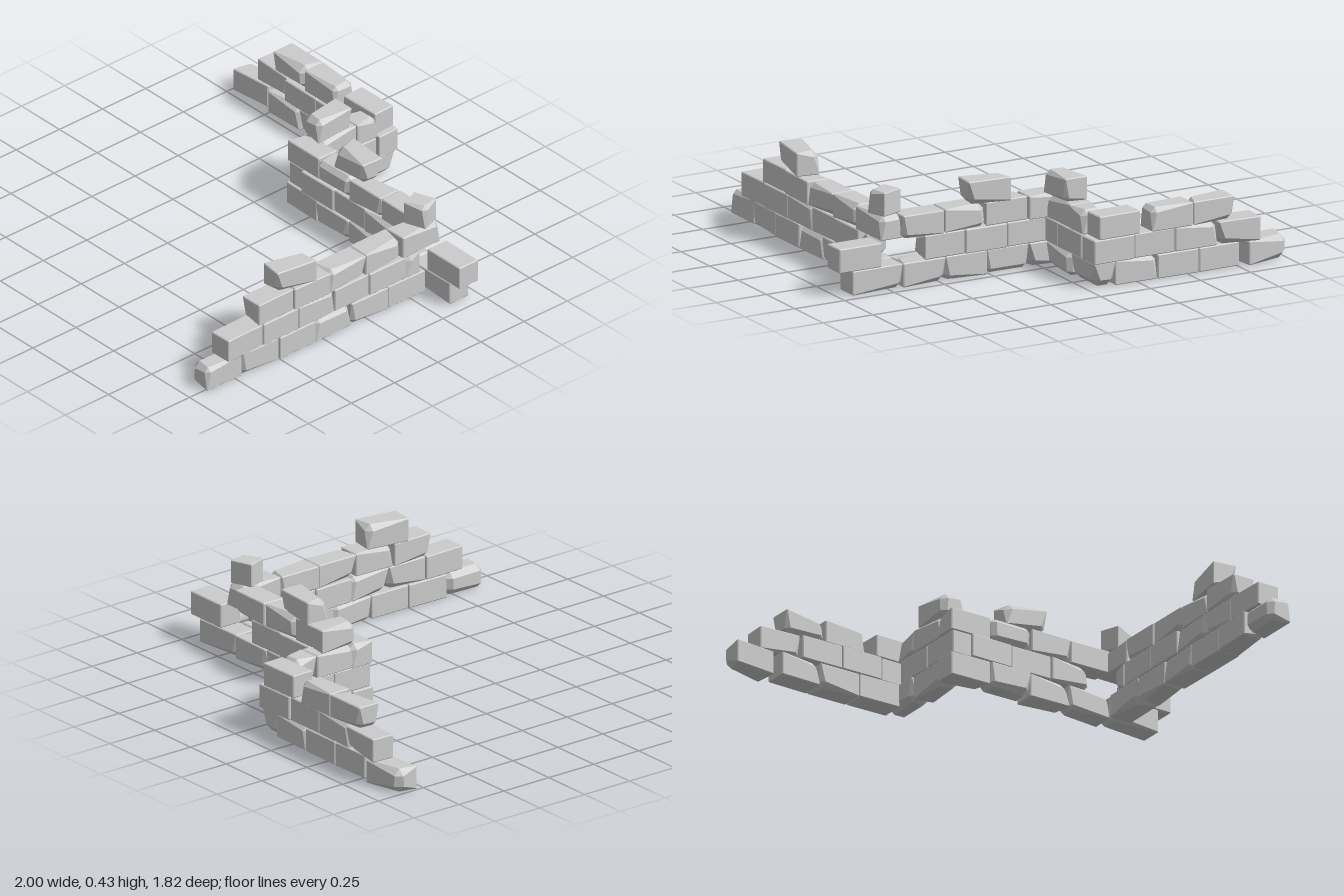
import * as THREE from 'three';
import { ConvexGeometry } from 'three/addons/geometries/ConvexGeometry.js';

const material = new THREE.MeshStandardMaterial({ color: 0xcccccc, flatShading: true });
const ROW = [0, 0.109, 0.218, 0.324, 0.432]; // course heights
const THICK = 0.11;

// Small seeded generator for worn corners and uneven laying
let seed = 7;
const rand = () => (seed = (seed * 16807) % 2147483647) / 2147483647;

// Block with every corner chamfered, a few of them worn deeper
function brickGeometry(length, height, thick, worn) {
  const points = [];
  for (const sx of [-1, 1]) for (const sy of [-1, 1]) for (const sz of [-1, 1]) {
    const c = rand() < worn ? 0.018 + rand() * 0.014 : 0.004;
    const x = length / 2, y = height / 2, z = thick / 2;
    points.push(
      new THREE.Vector3(sx * x, sy * (y - c), sz * (z - c)),
      new THREE.Vector3(sx * (x - c), sy * y, sz * (z - c)),
      new THREE.Vector3(sx * (x - c), sy * (y - c), sz * z));
  }
  return new ConvexGeometry(points);
}

// Each brick: [start, end, sideways shift, yaw], measured along the wall
const walls = [
  {
    name: 'backWall', axis: 'x', at: -0.832, rows: [
      [[-1, -0.79, -0.012, 0.1], [-0.76, -0.555], [-0.555, -0.35], [-0.35, -0.14]],
      [[-0.855, -0.65, -0.02, -0.05], [-0.65, -0.44], [-0.44, -0.235], [-0.235, -0.028]],
      [[-0.732, -0.526, -0.005, 0], [-0.526, -0.32, -0.005, 0], [-0.262, -0.055]],
      []]
  },
  {
    name: 'linkWall', axis: 'z', at: -0.09, rows: [
      [[-0.88, -0.67], [-0.67, -0.46]],
      [[-0.77, -0.56], [-0.56, -0.36]],
      [[-0.78, -0.66], [-0.66, -0.45]],
      [[-0.63, -0.435, 0.002, 0]]]
  },
  {
    name: 'middleWall', axis: 'x', at: -0.403, rows: [
      [[-0.155, 0.05], [0.05, 0.26], [0.26, 0.468], [0.468, 0.68], [0.68, 0.935]],
      [[-0.05, 0.16], [0.16, 0.37], [0.37, 0.572], [0.785, 1, 0.003, 0]],
      [[-0.153, 0.055, -0.01, 0], [0.055, 0.265], [0.265, 0.472], [0.475, 0.68]],
      [[0.147, 0.354, -0.012, -0.06]]]
  },
  {
    name: 'frontWall', axis: 'z', at: 0.722, rows: [
      [[-0.34, -0.125], [-0.125, 0.085], [0.085, 0.292], [0.292, 0.5], [0.5, 0.708], [0.708, 0.912, -0.01, 0]],
      [[-0.31, -0.23], [-0.23, -0.02], [-0.02, 0.182], [0.182, 0.39], [0.39, 0.595], [0.595, 0.802]],
      [[-0.43, -0.21], [-0.21, 0], [0, 0.21], [0.21, 0.415], [0.415, 0.62]],
      [[-0.41, -0.31, 0, 0.35], [0.285, 0.495, -0.002, -0.14]]]
  },
];

export function createModel() {
  const model = new THREE.Group();
  model.name = 'ruinedBrickWall';
  for (const { name, axis, at, rows } of walls) {
    const wall = new THREE.Group();
    wall.name = name;
    rows.forEach((row, r) => row.forEach(([a, b, shift, yaw], i) => {
      const height = ROW[r + 1] - ROW[r];
      const worn = r === 3 ? 0.5 : 0.22;
      const mesh = new THREE.Mesh(brickGeometry(b - a - 0.002, height, THICK, worn), material);
      const side = at + (shift ?? (rand() - 0.5) * 0.01);
      const mid = (a + b) / 2, y = (ROW[r] + ROW[r + 1]) / 2;
      if (axis === 'x') mesh.position.set(mid, y, side);
      else mesh.position.set(side, y, mid);
      mesh.rotation.y = (axis === 'x' ? 0 : Math.PI / 2) + (yaw ?? (rand() - 0.5) * 0.05);
      mesh.name = `${name}Row${r + 1}Brick${i + 1}`;
      wall.add(mesh);
    }));
    model.add(wall);
  }
  return model;
}
